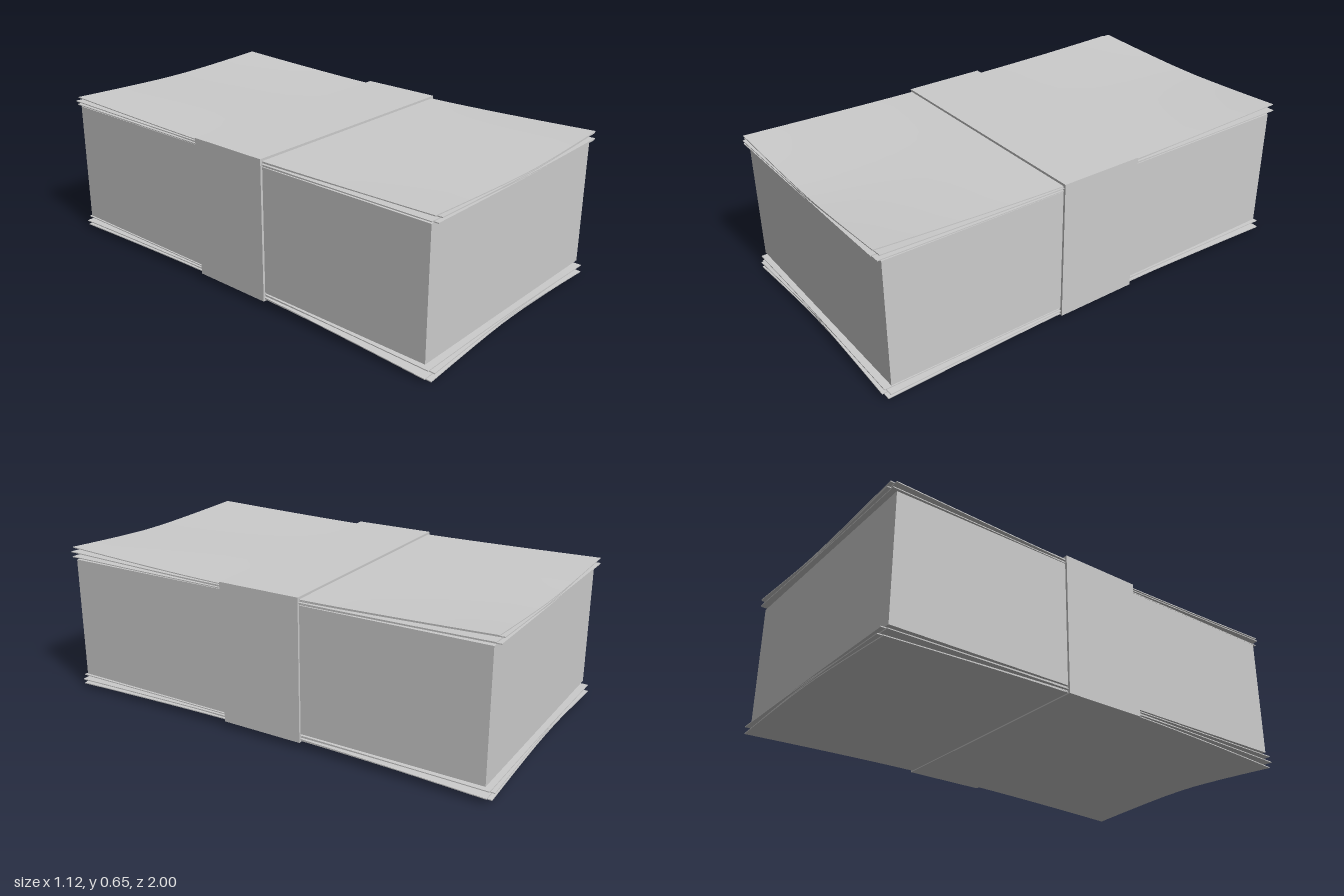
import * as THREE from 'three';

const material = new THREE.MeshStandardMaterial({ color: 0xcccccc, side: THREE.DoubleSide });

function addBox(group, name, width, height, depth, y) {
  const mesh = new THREE.Mesh(new THREE.BoxGeometry(width, height, depth), material);
  mesh.name = name;
  mesh.position.y = y;
  group.add(mesh);
}

// Thin paper sheet whose four corners curl by the given amounts.
// curls: [left front, right front, left back, right back]
function addSheet(group, name, y, turn, curls) {
  const halfX = 0.545, halfZ = 0.99;
  const geometry = new THREE.BoxGeometry(2 * halfX, 0.004, 2 * halfZ, 12, 1, 20);
  const pos = geometry.attributes.position;
  for (let i = 0; i < pos.count; i++) {
    const x = pos.getX(i), z = pos.getZ(i);
    const u = Math.max(0, (Math.abs(x) / halfX - 0.1) / 0.9);
    const v = Math.max(0, (Math.abs(z) - 0.18) / (halfZ - 0.18));
    const corner = (z > 0 ? 0 : 2) + (x > 0 ? 0 : 1);
    pos.setY(i, pos.getY(i) + curls[corner] * Math.pow(u, 1.3) * Math.pow(v, 1.4));
  }
  geometry.computeVertexNormals();
  const mesh = new THREE.Mesh(geometry, material);
  mesh.name = name;
  mesh.position.y = y;
  mesh.rotation.y = turn;
  group.add(mesh);
}

export function createModel() {
  const group = new THREE.Group();
  group.name = 'paperBundle';

  // Solid stack and the paper strap around its middle
  addBox(group, 'paperStack', 1.09, 0.537, 1.936, 0.3335);
  addBox(group, 'strap', 1.11, 0.606, 0.368, 0.333);

  // Loose sheets above and below, curling more towards the outside
  const turns = [0.006, -0.017, 0.017, -0.006];
  const topCurl = [0.028, 0.014, 0.021, 0.014];
  const bottomCurl = [-0.02, -0.034, -0.022, -0.02];
  turns.forEach((turn, i) => {
    const amount = 0.25 + 0.25 * i;
    addSheet(group, 'topSheet' + (i + 1), 0.606 + 0.006 * i, turn, topCurl.map(c => c * amount));
    addSheet(group, 'bottomSheet' + (i + 1), 0.057 - 0.007 * i, -turn, bottomCurl.map(c => c * amount));
  });
  return group;
}
